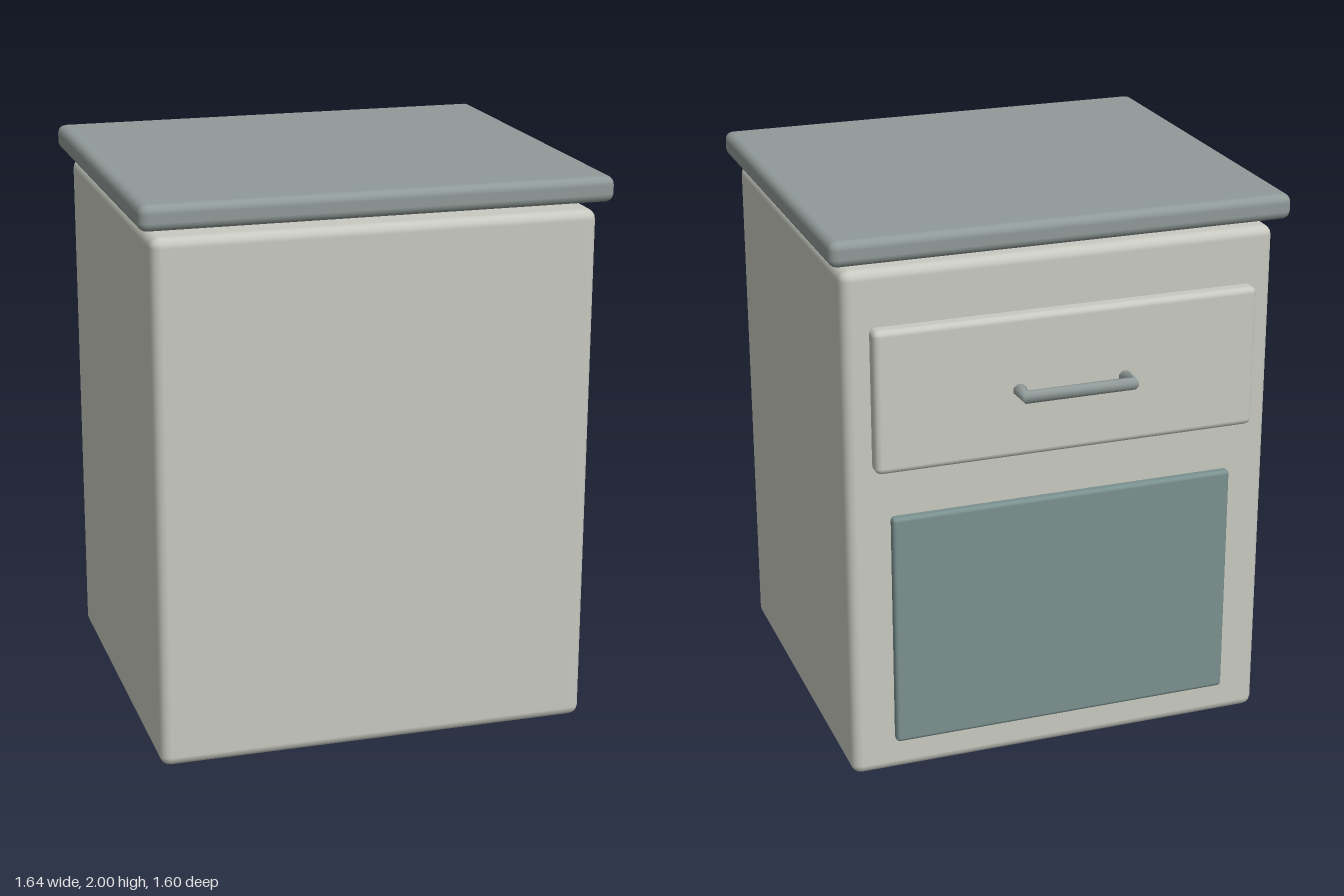
import * as THREE from 'three';
import { RoundedBoxGeometry } from 'three/addons/geometries/RoundedBoxGeometry.js';

const paint = (color) => new THREE.MeshStandardMaterial({ color });

// Rounded block given by its half width and its y and z limits
function block(name, halfX, [y0, y1], [z0, z1], radius, material) {
  const geo = new RoundedBoxGeometry(halfX * 2, y1 - y0, z1 - z0, 2, radius);
  const mesh = new THREE.Mesh(geo, material);
  mesh.name = name;
  mesh.position.set(0, (y0 + y1) / 2, (z0 + z1) / 2);
  return mesh;
}

// Eight-sided bar lofted through sections, each an outer and an inner [x, z] point
function loftBar(sections, halfHeight) {
  const sides = 8, pos = [], idx = [];
  const ring = ([outer, inner]) => {
    const start = pos.length / 3;
    for (let i = 0; i < sides; i++) {
      const a = ((i + 0.5) / sides) * Math.PI * 2, k = 1 / Math.cos(Math.PI / sides);
      const t = 0.5 + 0.5 * k * Math.cos(a);
      pos.push(
        inner[0] + (outer[0] - inner[0]) * t,
        halfHeight * k * Math.sin(a),
        inner[1] + (outer[1] - inner[1]) * t,
      );
    }
    return start;
  };
  const starts = sections.map(ring);
  for (let s = 0; s < starts.length - 1; s++) {
    for (let i = 0; i < sides; i++) {
      const j = (i + 1) % sides, a = starts[s], b = starts[s + 1];
      idx.push(a + i, a + j, b + i, a + j, b + j, b + i);
    }
  }
  // Flat end caps with their own vertices
  const first = ring(sections[0]), last = ring(sections[sections.length - 1]);
  for (let i = 1; i < sides - 1; i++) {
    idx.push(first, first + i + 1, first + i, last, last + i, last + i + 1);
  }
  const geo = new THREE.BufferGeometry();
  geo.setAttribute('position', new THREE.Float32BufferAttribute(pos, 3));
  geo.setIndex(idx);
  geo.computeVertexNormals();
  return geo;
}

export function createModel() {
  const group = new THREE.Group();
  group.name = 'cabinet';

  const bodyPaint = paint(0xc8c9c0);
  const topPaint = paint(0x909a98);
  const panelPaint = paint(0x7a918f);

  // Body and the overhanging top, with a narrow gap between them
  group.add(block('body', 0.775, [0.005, 1.88], [-0.62, 0.76], 0.035, bodyPaint));
  group.add(block('worktop', 0.82, [1.91, 2.0], [-0.665, 0.8], 0.03, topPaint));

  // Drawer front and lower panel on the back
  group.add(block('drawerFront', 0.688, [1.18, 1.69], [-0.69, -0.62], 0.022, bodyPaint));
  group.add(block('lowerPanel', 0.625, [0.135, 1.0], [-0.66, -0.62], 0.014, panelPaint));

  // Drawer handle: bar with two flared legs
  const half = [
    [[0.213, -0.718], [0.167, -0.718]],
    [[0.205, -0.803], [0.178, -0.773]],
  ];
  const mirrored = half.map((s) => s.map(([x, z]) => [-x, z])).reverse();
  const handleMat = paint(0x909a98);
  handleMat.side = THREE.DoubleSide;
  const handle = new THREE.Mesh(loftBar([...half, ...mirrored], 0.021), handleMat);
  handle.name = 'drawerHandle';
  handle.position.y = 1.437;
  group.add(handle);

  return group;
}
